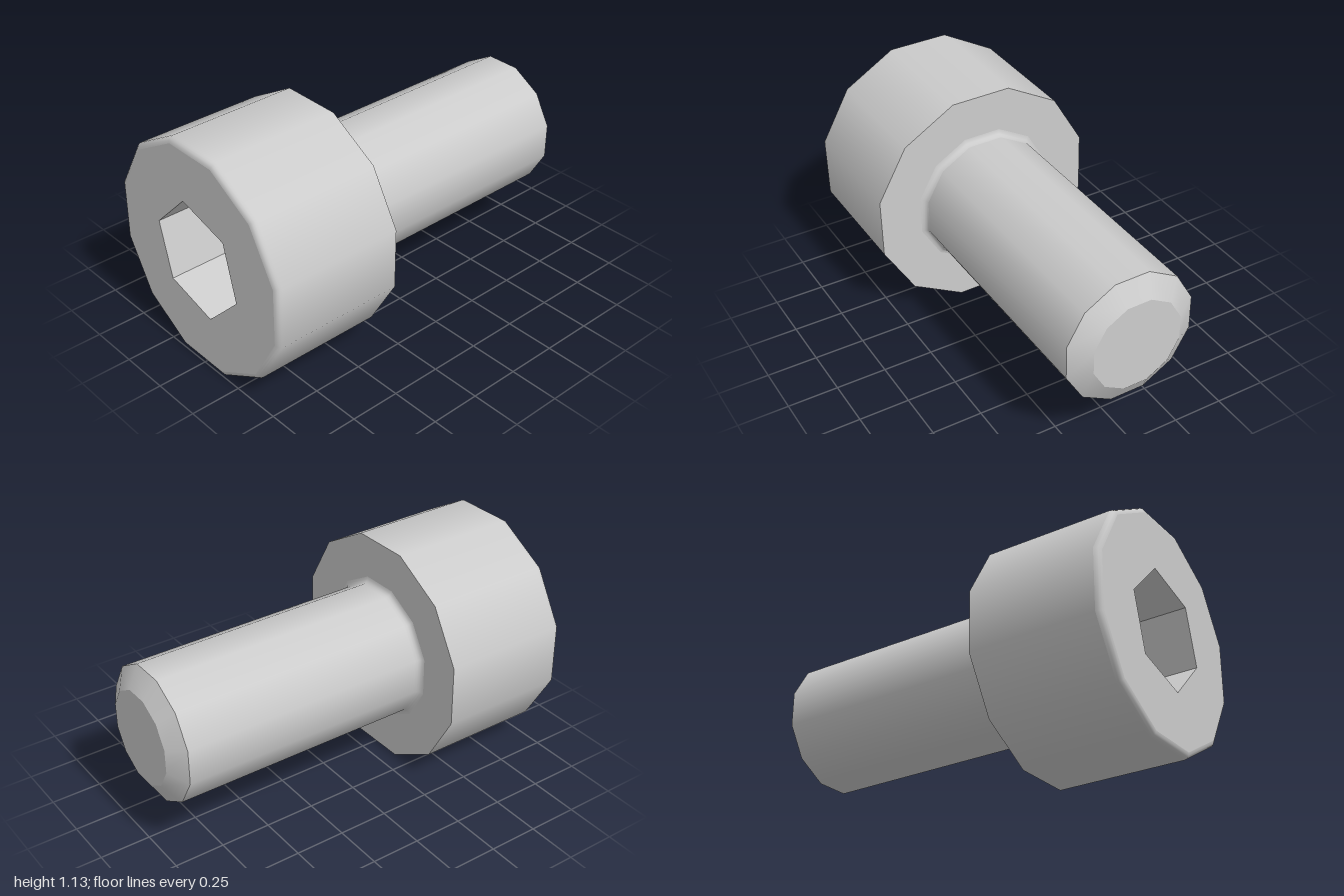
import * as THREE from 'three';

const AXIS_Y = 0.565;
const TURN = THREE.MathUtils.degToRad(15.75);

// Dimensions along x (the screw axis) and radii
const HEAD_BACK = -1, HEAD_FRONT = -0.335, TIP = 1;
const HEAD_R = 0.584, SHAFT_R = 0.335, TIP_R = 0.232, SOCKET_R = 0.288;
const RIM = 0.028, FILLET = 0.03, CHAMFER = 0.06;

// Quarter arc as [x, radius] points, from angle a to angle b (0 = +x)
function arc(cx, cr, radius, a, b, steps = 4) {
  return Array.from({ length: steps + 1 }, (_, i) => {
    const t = a + ((b - a) * i) / steps;
    return [cx + radius * Math.cos(t), cr + radius * Math.sin(t)];
  });
}

// Surface of revolution about x, from a profile of [x, radius] points
function turned(profile, sides = 12) {
  const points = profile.map(([x, r]) => new THREE.Vector2(r, x));
  return new THREE.LatheGeometry(points, sides, TURN).rotateZ(-Math.PI / 2);
}

function polygon(path, radius, sides) {
  for (let i = 0; i < sides; i++) {
    const a = -TURN + (i * 2 * Math.PI) / sides;
    const x = radius * Math.cos(a), y = radius * Math.sin(a);
    if (i === 0) path.moveTo(x, y);
    else path.lineTo(x, y);
  }
  path.closePath();
  return path;
}

export function createModel() {
  const screw = new THREE.Group();
  screw.name = 'socketHeadScrew';
  const steel = new THREE.MeshStandardMaterial({ color: 0xcccccc });
  steel.name = 'steel grey';

  const add = (name, geometry) => {
    const mesh = new THREE.Mesh(geometry, steel);
    mesh.name = name;
    mesh.position.y = AXIS_Y;
    screw.add(mesh);
  };

  // Head: flat end with a hexagonal opening
  const face = polygon(new THREE.Shape(), HEAD_R - RIM, 12);
  face.holes.push(polygon(new THREE.Path(), SOCKET_R, 6));
  add('headFace', new THREE.ShapeGeometry(face).rotateY(-Math.PI / 2).translate(HEAD_BACK, 0, 0));

  // Hexagonal socket with flat walls and floor
  const socket = turned([[-0.667, 0], [-0.667, SOCKET_R], [HEAD_BACK, SOCKET_R]], 6).toNonIndexed();
  socket.computeVertexNormals();
  add('hexSocket', socket);

  // Remaining surfaces, separate so their shared edges stay crisp
  const parts = {
    headRim: arc(HEAD_BACK + RIM, HEAD_R - RIM, RIM, Math.PI, Math.PI / 2),
    headWall: [[HEAD_BACK + RIM, HEAD_R], [HEAD_FRONT, HEAD_R]],
    headUnderside: [[HEAD_FRONT, HEAD_R], [HEAD_FRONT, SHAFT_R + FILLET]],
    neckFillet: arc(HEAD_FRONT + FILLET, SHAFT_R + FILLET, FILLET, Math.PI, Math.PI * 1.5),
    shaft: [[HEAD_FRONT + FILLET, SHAFT_R], [TIP - CHAMFER, SHAFT_R]],
    tipChamfer: [[TIP - CHAMFER, SHAFT_R], [TIP, TIP_R]],
    tipFace: [[TIP, TIP_R], [TIP, 0]],
  };
  for (const [name, profile] of Object.entries(parts)) add(name, turned(profile));

  return screw;
}
